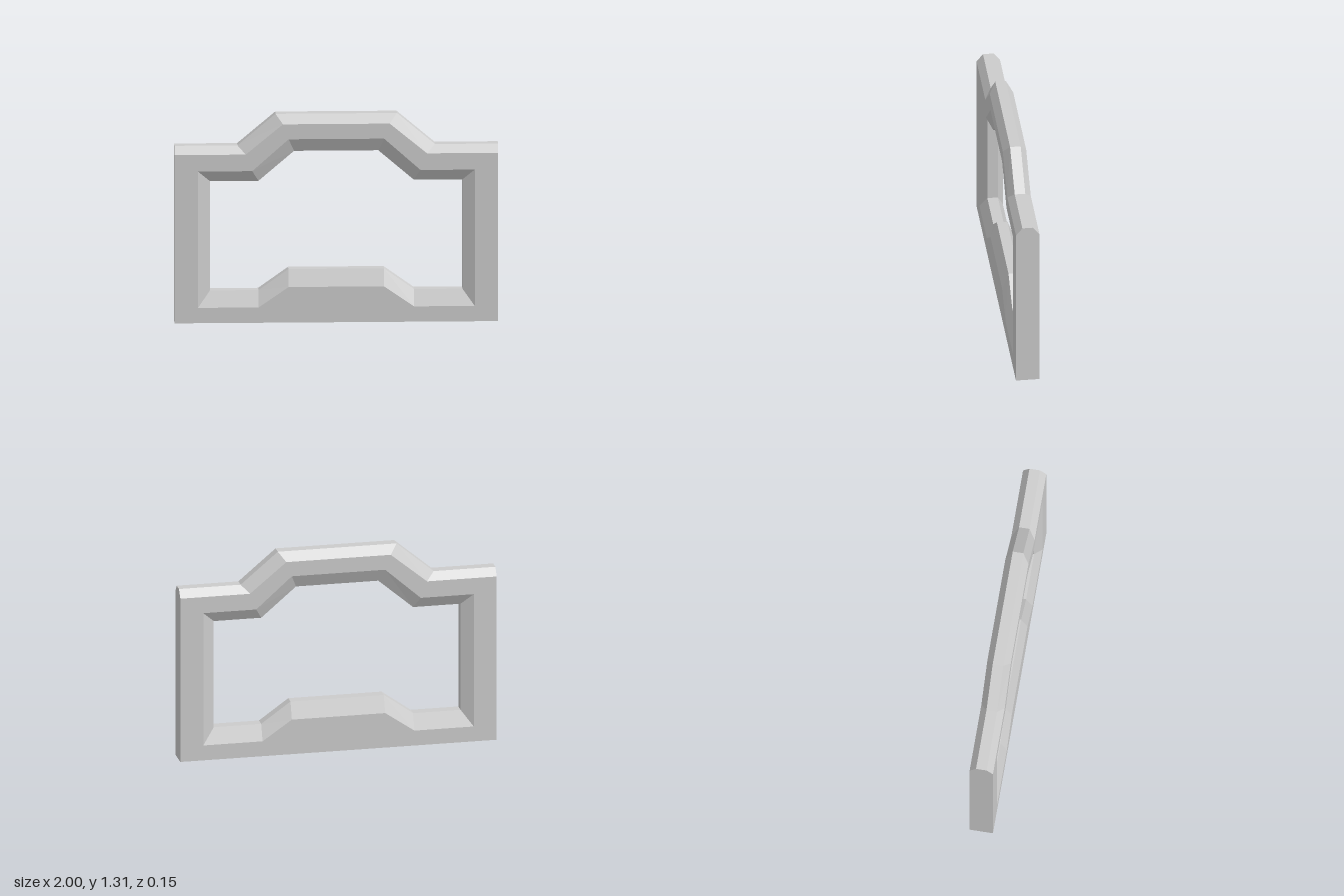
import * as THREE from 'three';

// Half outlines, from the bottom centre round the +x side to the top centre.
const outerFace = [[0.295, 0], [0.48, 0], [1, 0], [1, 1.065], [0.56, 1.065], [0.33, 1.255]];
const outerRidge = [[0.295, 0], [0.48, 0], [1, 0], [1, 1.115], [0.61, 1.115], [0.375, 1.313]];
const innerFace = [[0.295, 0.225], [0.48, 0.097], [0.855, 0.097], [0.855, 0.96], [0.52, 0.96], [0.295, 1.16]];
const innerRidge = [[0.295, 0.33], [0.48, 0.198], [0.78, 0.198], [0.78, 0.89], [0.48, 0.89], [0.26, 1.078]];

const FACE_Z = 0.073;
const RIDGE_Z = 0.033;

// Completes a half outline with its mirror image
const mirrored = (half) => [...half, ...half.map(([x, y]) => [-x, y]).reverse()];

// Joins closed rings into a closed tube, flat shaded
function loftRings(rings) {
  const positions = [];
  const count = rings[0].length;
  rings.forEach((ring, r) => {
    const next = rings[(r + 1) % rings.length];
    for (let i = 0; i < count; i++) {
      const j = (i + 1) % count;
      const [a, b, c, d] = [ring[i], next[i], next[j], ring[j]];
      positions.push(...a, ...b, ...c, ...a, ...c, ...d);
    }
  });
  const geometry = new THREE.BufferGeometry();
  geometry.setAttribute('position', new THREE.Float32BufferAttribute(positions, 3));
  geometry.computeVertexNormals();
  return geometry;
}

export function createModel() {
  const group = new THREE.Group();
  group.name = 'steppedFrame';

  // Eight-sided section: outer edge front to back, then inner edge back to front
  const section = [
    [outerFace, FACE_Z], [outerRidge, RIDGE_Z], [outerRidge, -RIDGE_Z], [outerFace, -FACE_Z],
    [innerFace, -FACE_Z], [innerRidge, -RIDGE_Z], [innerRidge, RIDGE_Z], [innerFace, FACE_Z],
  ];
  const rings = section.map(([half, z]) => mirrored(half).map(([x, y]) => [x, y, z]));

  const material = new THREE.MeshStandardMaterial({ color: 0xcccccc, flatShading: true });
  const frame = new THREE.Mesh(loftRings(rings), material);
  frame.name = 'bevelledFrame';
  group.add(frame);
  return group;
}
